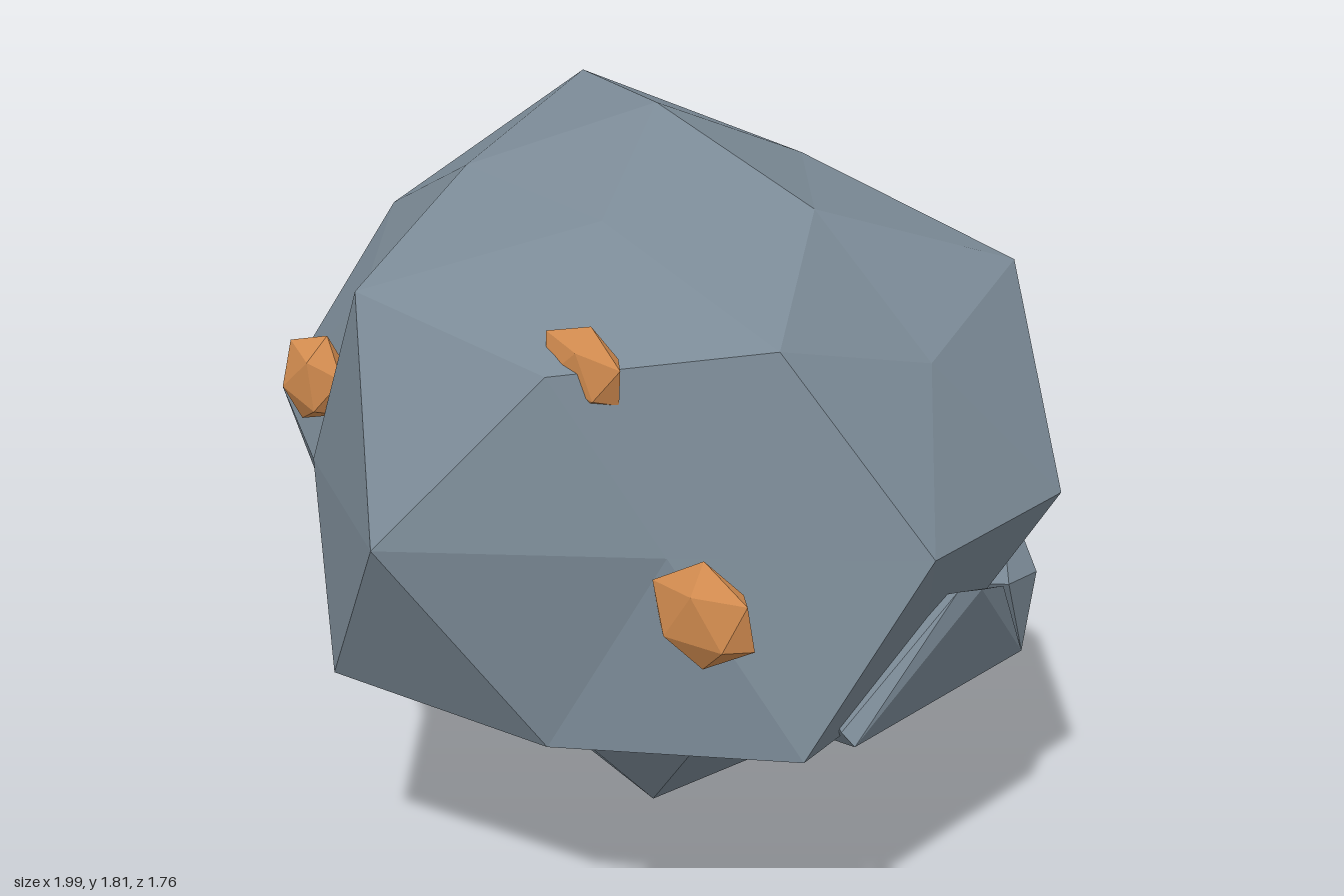
import * as THREE from 'three';
import { ConvexGeometry } from 'three/addons/geometries/ConvexGeometry.js';

const stone = new THREE.MeshStandardMaterial({ color: 0x7b8a96, flatShading: true });
stone.name = 'slate grey stone';
const ore = new THREE.MeshStandardMaterial({ color: 0xd48d50, flatShading: true });
ore.name = 'copper orange ore';

// Boulder centre and its sideways stretch
const CENTRE = new THREE.Vector3(0.01, 0.98, -0.12);
const STRETCH = 1.155;

// A ring of boulder corners: unit height, first angle and one radius per corner
function ring(height, startDegrees, radii) {
  const flat = Math.sqrt(1 - height * height);
  return radii.map((r, i) => {
    const a = THREE.MathUtils.degToRad(startDegrees + (i * 360) / radii.length);
    return new THREE.Vector3(Math.sin(a) * flat * r * STRETCH, height * r, Math.cos(a) * flat * r).add(CENTRE);
  });
}

// Once-subdivided icosahedron, its corners pushed in and out
function boulderGeometry() {
  const [top] = ring(1, 0, [0.83]);
  const M = ring(0.851, 18, [0.75, 0.755, 0.78, 0.95, 0.785]);
  const E = ring(0.526, 54, [0.84, 0.905, 0.855, 0.875, 0.915]);
  const U = ring(0.447, 18, [0.86, 0.76, 0.846, 0.76, 0.73]);
  const Q = ring(0, 0, [1, 0.78, 0.9, 0.89, 0.81, 0.74, 0.87, 0.9, 0.915, 0.79]);
  const L = ring(-0.447, 54, [0.985, 0.77, 0.895, 0.77, 0.965]);
  const F = ring(-0.526, 90, [0.8, 0.88, 0.92, 0.8, 0.915]);
  const N = ring(-0.851, 54, [0.71, 0.853, 0.72, 0.91, 0.7]);
  const [bottom] = ring(-1, 0, [0.98]);

  const points = [];
  for (let k = 0; k < 5; k++) {
    const n = (k + 1) % 5;
    const q1 = Q[2 * k + 1], q2 = Q[(2 * k + 2) % 10], q3 = Q[(2 * k + 3) % 10];
    points.push(
      // cap
      top, M[k], M[n], M[k], U[k], E[k], M[k], E[k], M[n], M[n], E[k], U[n],
      // belt
      U[k], q1, E[k], E[k], q1, q2, E[k], q2, U[n], q1, L[k], q2,
      U[n], q2, q3, q2, L[k], F[k], q2, F[k], q3, q3, F[k], L[n],
      // underside
      L[k], N[k], F[k], F[k], N[k], N[n], F[k], N[n], L[n], bottom, N[n], N[k]
    );
  }
  const geometry = new THREE.BufferGeometry().setFromPoints(points);
  geometry.computeVertexNormals();
  return geometry;
}

// Angular chunk from its corners
function chunk(corners) {
  return new ConvexGeometry(corners.map((p) => new THREE.Vector3(...p)));
}

// Flattened nugget with a corner pointing up
function nuggetGeometry(width, height, depth) {
  const g = new THREE.IcosahedronGeometry(1, 0);
  g.rotateX(-Math.atan((1 + Math.sqrt(5)) / 2));
  g.scale(width, height, depth);
  return g;
}

export function createModel() {
  const group = new THREE.Group();
  group.name = 'oreBoulder';

  function add(name, geometry, material) {
    const mesh = new THREE.Mesh(geometry, material);
    mesh.name = name;
    group.add(mesh);
    return mesh;
  }

  add('boulder', boulderGeometry(), stone);

  // Pointed chunk on the upper back
  add('backChunk', chunk([
    [-0.77, 1.34, -0.64], [-0.27, 1.33, -0.78], [-0.55, 1.5, -0.46],
    [-0.76, 1.33, -0.31], [-0.81, 1.09, -0.49], [-0.59, 0.98, -0.8], [-0.4, 1.2, -0.4],
  ]), stone);

  // Broad ledge low on the +x side, with a fin trailing to the back
  add('sideLedge', chunk([
    [0.88, 0.545, 0.27], [0.85, 0.575, 0.28], [0.95, 0.84, -0.02], [0.97, 0.83, -0.09],
    [0.92, 0.77, -0.27], [0.88, 0.54, -0.44], [0.67, 0.43, -0.24], [0.45, 0.34, -0.1], [0.5, 0.65, 0],
  ]), stone);
  add('sideFin', chunk([
    [0.88, 0.54, -0.44], [0.9, 0.75, -0.33], [0.87, 0.72, -0.51], [0.64, 0.87, -0.7],
    [0.62, 0.83, -0.71], [0.57, 0.54, -0.56], [0.5, 0.65, -0.35],
  ]), stone);

  // Ore nuggets on the front: position, half sizes, tilt
  const nuggets = [
    [[-0.505, 1.19, 0.525], [0.105, 0.12, 0.05], -0.4],
    [[0.65, 0.88, 0.525], [0.15, 0.125, 0.052], 0],
    [[0.325, 1.375, 0.535], [0.125, 0.1, 0.042], -0.25],
  ];
  nuggets.forEach(([position, size, tilt], i) => {
    const nugget = add('oreNugget' + (i + 1), nuggetGeometry(...size), ore);
    nugget.position.set(...position);
    nugget.rotation.z = tilt;
  });

  return group;
}
